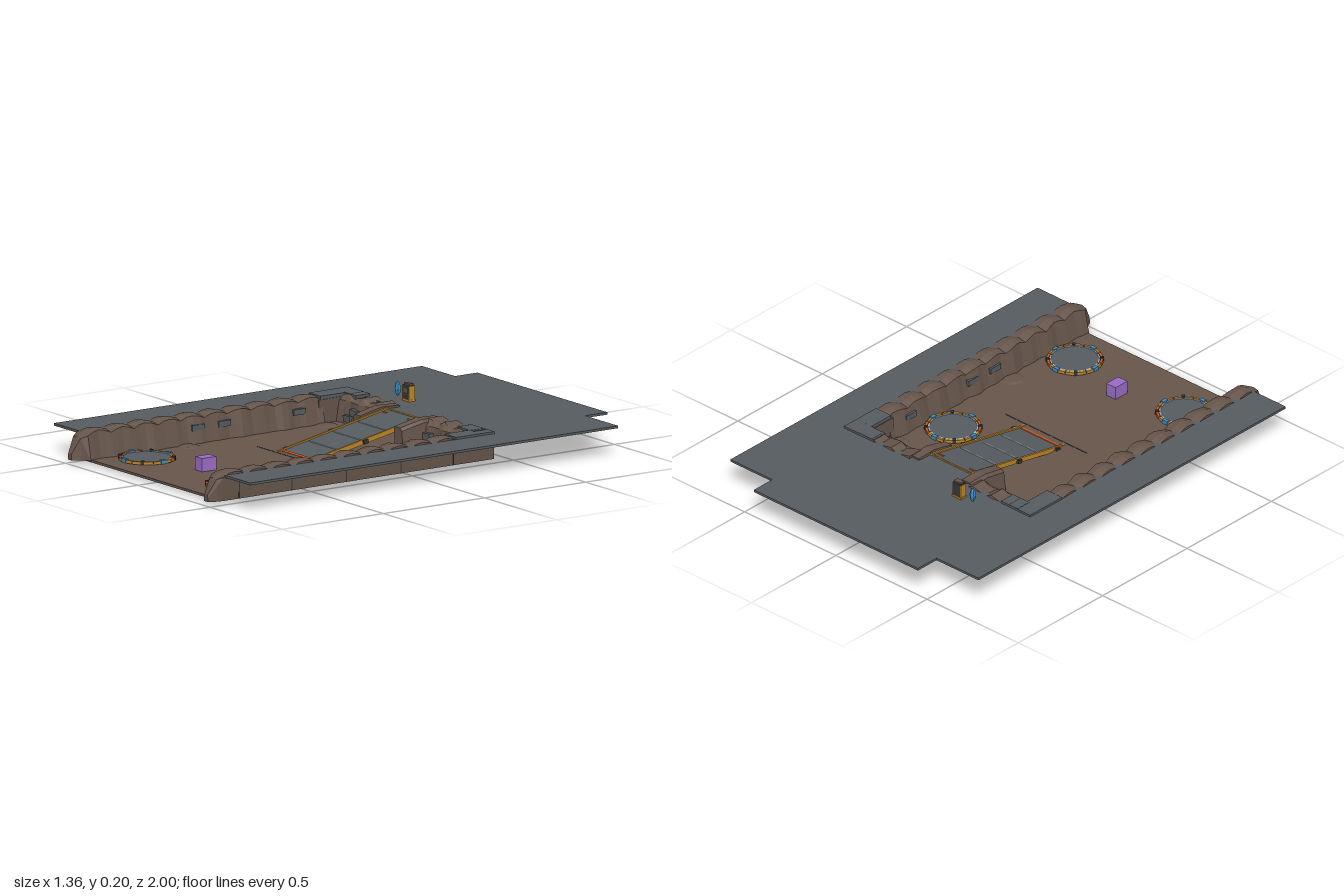
import * as THREE from 'three';

const paint = (name, color, flat = true) => {
  const m = new THREE.MeshStandardMaterial({ color });
  m.name = name;
  m.flatShading = flat;
  return m;
};

// Lofts a solid through matching rings, which run counter-clockwise seen from the far end.
function loft(rings, mirror) {
  const r = mirror ? rings.map(g => g.map(([x, y, z]) => [-x, y, z]).reverse()) : rings;
  const pos = [], n = r[0].length;
  const tri = (a, b, c) => pos.push(...a, ...b, ...c);
  for (let i = 0; i < r.length - 1; i++) {
    for (let j = 0; j < n; j++) {
      const k = (j + 1) % n;
      tri(r[i][j], r[i][k], r[i + 1][k]);
      tri(r[i][j], r[i + 1][k], r[i + 1][j]);
    }
  }
  const end = r[r.length - 1];
  for (let j = 1; j < n - 1; j++) {
    tri(r[0][0], r[0][j + 1], r[0][j]);
    tri(end[0], end[j], end[j + 1]);
  }
  const g = new THREE.BufferGeometry();
  g.setAttribute('position', new THREE.Float32BufferAttribute(pos, 3));
  g.computeVertexNormals();
  return g;
}

export function createModel() {
  const model = new THREE.Group();
  const slate = paint('slate', 0x555c60), earth = paint('earth', 0x66554b);
  const dark = paint('dark steel', 0x34383b), yellow = paint('amber', 0xbd8628);
  const orange = paint('orange', 0xd8581f), blue = paint('blue', 0x3c8cc4);
  const pale = paint('pale line', 0xa9b6bd), purple = paint('purple', 0x9a6cc6);

  const add = (name, geo, mat, x = 0, y = 0, z = 0, parent = model) => {
    const m = new THREE.Mesh(geo, mat);
    m.name = name;
    m.position.set(x, y, z);
    parent.add(m);
    return m;
  };
  const box = (name, w, h, d, mat, x, y, z, parent) =>
    add(name, new THREE.BoxGeometry(w, h, d), mat, x, y, z, parent);

  // Upper ground plate, cut out around the pit
  const outline = [[-0.68, 0.93], [-0.47, 0.93], [-0.47, -0.37], [-0.115, -0.37], [-0.115, -0.315],
    [0.115, -0.315], [0.115, -0.37], [0.47, -0.37], [0.47, 0.93], [0.68, 0.93], [0.68, -0.89],
    [0.45, -0.89], [0.45, -1], [-0.45, -1], [-0.45, -0.89], [-0.68, -0.89]];
  const shape = new THREE.Shape(outline.map(([x, z]) => new THREE.Vector2(x, -z)));
  const plate = new THREE.ExtrudeGeometry(shape, { depth: 0.01, bevelEnabled: false });
  plate.rotateX(-Math.PI / 2);
  add('upperGround', plate, slate, 0, 0.115, 0);

  // Sunken floor and the seam where the ramp lands
  box('pitFloor', 0.9, 0.01, 1.365, earth, 0, 0.017, 0.2525);
  box('rampSeam', 0.45, 0.014, 0.006, dark, 0, 0.016, 0.246);

  for (const s of [1, -1]) {
    const mirror = s < 0;

    // Side bank with scalloped crest, ending in a pointed toe
    const rings = [];
    for (let i = 0; i <= 40; i++) {
      const z = -0.22 + i * 0.029;
      const phase = (i % 4) / 4;
      const top = 0.125 + 0.015 * Math.sin(phase * Math.PI);
      const wob = 0.004 * Math.sin(i * 1.7) + 0.003 * Math.sin(i * 0.9 + s);
      rings.push([[0.412 + wob, 0.02, z], [0.505, 0.02, z], [0.507, 0.112, z],
        [0.51 - 0.006 * phase, top - 0.005, z], [0.47, top + 0.001, z], [0.434 + wob, top - 0.006, z]]);
    }
    rings.push([[0.44, 0.02, 0.965], [0.502, 0.02, 0.965], [0.502, 0.085, 0.965],
      [0.496, 0.11, 0.965], [0.47, 0.115, 0.965], [0.446, 0.108, 0.965]]);
    rings.push([[0.457, 0.02, 1], [0.485, 0.02, 1], [0.485, 0.035, 1],
      [0.481, 0.048, 1], [0.47, 0.05, 1], [0.46, 0.046, 1]]);
    add('sideBank', loft(rings, mirror), earth);

    // Joints between the outer bank panels
    for (const z of [0.86, 0.6, 0.33, 0.06, -0.2])
      box('panelJoint', 0.004, 0.09, 0.004, dark, s * 0.505, 0.066, z);

    // Back bank with an uneven top and sloping inner face
    const back = [];
    for (let i = 0; i <= 9; i++) {
      const x = 0.155 + i * 0.034;
      const top = 0.128 + 0.009 * Math.sin(i * 2.1 + s);
      const w = 0.006 * Math.sin(i * 1.6 + 1);
      back.push([[x, 0.02, -0.4], [x, 0.115, -0.4], [x, top, -0.395], [x, top, -0.33 + w],
        [x, 0.11, -0.305 + w], [x, 0.02, -0.287 + w * 0.5]]);
    }
    add('backBank', loft(back, mirror), earth);

    // Corner blocks with slate caps
    box('cornerBlock', 0.08, 0.1, 0.2, earth, s * 0.465, 0.07, -0.3);
    box('cornerCap', 0.082, 0.018, 0.19, slate, s * 0.469, 0.125, -0.305);
    box('backCap', 0.09, 0.018, 0.07, slate, s * 0.395, 0.126, -0.364);

    // Tapered cheek beside the ramp
    const cheek = [[-0.38, 0.132, 0.172], [-0.29, 0.135, 0.174], [-0.24, 0.125, 0.172], [-0.185, 0.112, 0.168]]
      .map(([z, top, x]) => [[0.118, 0.02, z], [x + 0.01, 0.02, z], [x, top - 0.012, z],
        [x - 0.012, top, z], [0.118, top, z]]);
    add('rampCheek', loft(cheek, mirror), earth);

    // Slate stones set in the back and side banks
    const stones = [[0.2, 0.072, 0.03], [0.25, 0.042, -0.1], [0.305, 0.075, 0.08], [0.35, 0.045, -0.06]];
    for (const [x, y, tilt] of stones)
      box('bankStone', 0.046, 0.027, 0.024, slate, s * x, y, -0.292).rotation.z = s * tilt;
    for (const z of [-0.1, 0.27, 0.4])
      box('sideStone', 0.02, 0.024, 0.06, slate, s * 0.428, 0.085, z);

    // Low earth mounds against the banks
    for (const z of [-0.21, 0.47])
      add('mound', new THREE.CylinderGeometry(0.035, 0.05, 0.006, 9), earth, s * 0.385, 0.024, z);
  }

  // Ramp, built flat and then tilted down toward the front
  const ramp = new THREE.Group();
  ramp.name = 'ramp';
  const drop = 0.112, run = 0.562, len = Math.hypot(drop, run);
  ramp.position.set(0, 0.065, -0.037);
  ramp.rotation.x = Math.atan2(drop, run);
  model.add(ramp);
  box('rampDeck', 0.215, 0.012, len, slate, 0, 0, 0, ramp);
  for (const s of [1, -1]) {
    box('rampRail', 0.009, 0.02, len, yellow, s * 0.11, 0.002, 0, ramp);
    box('rampEdge', 0.22, 0.015, 0.008, yellow, 0, 0.001, s * (len / 2 - 0.004), ramp);
    box('rampMark', 0.025, 0.003, 0.008, orange, s * 0.085, 0.007, -0.252, ramp);
    for (const z of [-0.005, 0.225])
      box('rampBracket', 0.014, 0.016, 0.022, dark, s * 0.118, 0.002, z, ramp);
  }
  for (const z of [-0.125, 0, 0.122])
    box('rampLine', 0.19, 0.003, 0.005, pale, 0, 0.0065, z, ramp);
  box('rampStop', 0.2, 0.004, 0.013, orange, 0, 0.007, 0.25, ramp);

  // Round pads with segmented coloured rims
  const arc = (r0, r1, a, da, h) => {
    const p = new THREE.Shape();
    p.absarc(0, 0, r1, a, a + da, false);
    p.absarc(0, 0, r0, a + da, a, true);
    const g = new THREE.ExtrudeGeometry(p, { depth: h, bevelEnabled: false, curveSegments: 3 });
    return g.rotateX(-Math.PI / 2);
  };
  for (const [x, z] of [[0.3, 0.02], [0.3, 0.74], [-0.3, 0.74]]) {
    const pad = new THREE.Group();
    pad.name = 'pad';
    pad.position.set(x, 0.022, z);
    model.add(pad);
    add('padBase', new THREE.CylinderGeometry(0.113, 0.115, 0.006, 24), dark, 0, 0.003, 0, pad);
    add('padDisc', new THREE.CylinderGeometry(0.1, 0.1, 0.008, 24), slate, 0, 0.005, 0, pad);
    for (let i = 0; i < 16; i++) {
      const a = i * Math.PI / 8;
      const hot = i % 8 === 1 || i % 8 === 2;
      add('rimSegment', arc(0.104, 0.114, a + 0.02, Math.PI / 8 - 0.04, 0.012), hot ? orange : yellow, 0, 0, 0, pad);
      add('rimLine', arc(0.096, 0.102, a + 0.04, Math.PI / 8 - 0.08, 0.002), pale, 0, 0.009, 0, pad);
    }
    for (let i = 0; i < 8; i++) {
      const a = i * Math.PI / 4, even = i % 2 === 0;
      const clip = box('padClip', 0.016, 0.016, even ? 0.026 : 0.014, even ? blue : dark,
        Math.cos(a) * 0.109, 0.008, -Math.sin(a) * 0.109, pad);
      clip.rotation.y = a;
    }
  }

  // Purple crate
  box('crate', 0.05, 0.055, 0.07, purple, 0, 0.0495, 0.665);

  // Small console and blue crystal on the upper ground
  box('consoleBody', 0.044, 0.066, 0.026, dark, -0.19, 0.158, -0.475);
  box('consoleTop', 0.036, 0.008, 0.022, earth, -0.19, 0.194, -0.475);
  box('consoleScreen', 0.026, 0.018, 0.004, slate, -0.19, 0.17, -0.461);
  box('consoleBase', 0.05, 0.008, 0.032, yellow, -0.19, 0.129, -0.475);
  for (const s of [1, -1]) box('consoleTrim', 0.005, 0.056, 0.03, yellow, -0.19 + s * 0.021, 0.16, -0.475);
  const crystal = [[0, 0], [0.009, 0.008], [0.014, 0.03], [0.009, 0.054], [0, 0.064]]
    .map(([r, y]) => new THREE.Vector2(r, y));
  add('crystal', new THREE.LatheGeometry(crystal, 6), blue, -0.265, 0.131, -0.475);

  return model;
}
